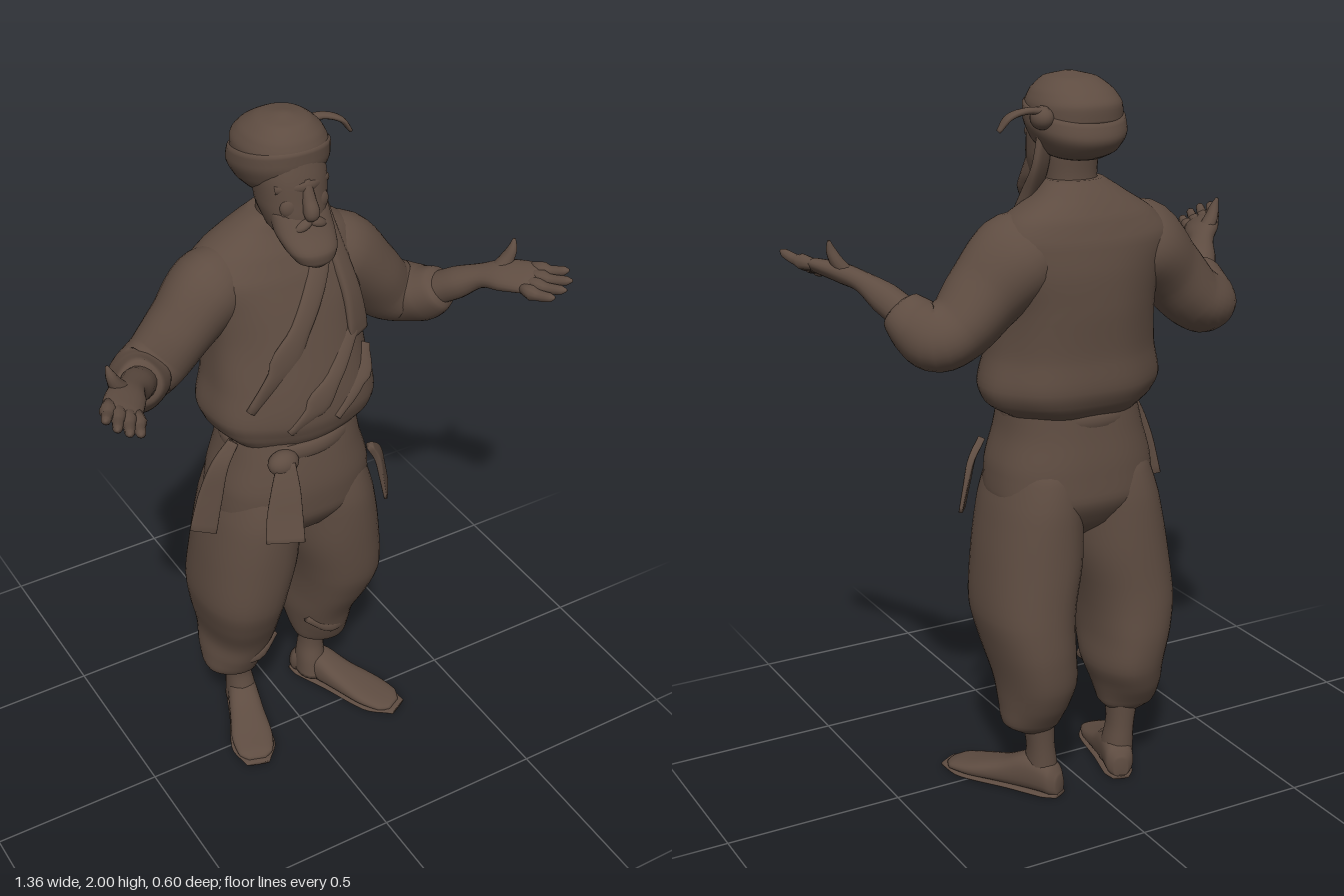
import * as THREE from 'three';

const V = (x, y, z) => new THREE.Vector3(x, y, z);
const brown = new THREE.MeshStandardMaterial({ color: 0x5e4c41 });
brown.name = 'dark brown';
const UP = V(0, 1, 0);

// Smooth closed sweep. Rows are [x, y, z, a, b]; a is the half size along ref, b the other half size.
function sweep(rows, { ref = V(1, 0, 0), dir = null, n = 2.2, seg = 32, sub = 5, fold = null } = {}) {
  const path = new THREE.CatmullRomCurve3(rows.map(r => V(r[0], r[1], r[2])));
  const size = new THREE.CatmullRomCurve3(rows.map(r => V(r[3], r[4], 0)));
  const steps = (rows.length - 1) * sub, pos = [], idx = [];
  const pw = v => Math.sign(v) * Math.abs(v) ** (2 / n);
  for (let i = 0; i <= steps; i++) {
    const t = i / steps, c = path.getPoint(t), s = size.getPoint(t);
    const T = dir ? dir.clone().normalize() : path.getTangent(t);
    const A = ref.clone().addScaledVector(T, -ref.dot(T)).normalize();
    const B = T.clone().cross(A);
    for (let j = 0; j < seg; j++) {
      const th = j / seg * Math.PI * 2, k = fold ? 1 + fold(th, t) : 1;
      const p = c.clone().addScaledVector(A, pw(Math.cos(th)) * Math.max(s.x, 0.002) * k)
        .addScaledVector(B, pw(Math.sin(th)) * Math.max(s.y, 0.002) * k);
      pos.push(p.x, p.y, p.z);
    }
  }
  for (let i = 0; i < steps; i++) for (let j = 0; j < seg; j++) {
    const a = i * seg + j, b = i * seg + (j + 1) % seg;
    idx.push(a, b, b + seg, a, b + seg, a + seg);
  }
  const c0 = pos.length / 3, last = steps * seg;
  for (const r of [rows[0], rows[rows.length - 1]]) pos.push(r[0], r[1], r[2]);
  for (let j = 0; j < seg; j++) {
    const k = (j + 1) % seg;
    idx.push(c0, k, j, c0 + 1, last + j, last + k);
  }
  const g = new THREE.BufferGeometry();
  g.setAttribute('position', new THREE.Float32BufferAttribute(pos, 3));
  g.setIndex(idx);
  g.computeVertexNormals();
  return g;
}

// Level rings [y, x, z, rx, rz], listed from bottom to top
const stack = (rows, o = {}) => sweep(rows.map(([y, x, z, a, b]) => [x, y, z, a, b]), { dir: UP, ...o });

const TORSO = [
  [1.1, 0, -0.08, 0.185, 0.15], [1.14, 0.012, -0.09, 0.235, 0.18], [1.19, 0.012, -0.095, 0.252, 0.195],
  [1.28, 0.01, -0.1, 0.232, 0.187], [1.4, 0.01, -0.12, 0.222, 0.175], [1.5, 0.01, -0.135, 0.24, 0.16],
  [1.58, 0, -0.145, 0.255, 0.14], [1.64, 0.01, -0.15, 0.21, 0.115], [1.69, 0.01, -0.15, 0.13, 0.085],
  [1.73, 0.02, -0.14, 0.08, 0.065]];

// Depth of the shirt front at a given place
function frontZ(x, y) {
  let i = 0;
  while (i < TORSO.length - 2 && TORSO[i + 1][0] < y) i++;
  const [p, q] = [TORSO[i], TORSO[i + 1]], t = (y - p[0]) / (q[0] - p[0]);
  const [, cx, cz, rx, rz] = p.map((v, k) => v + (q[k] - v) * t);
  return cz + rz * Math.max(0, 1 - Math.abs((x - cx) / rx) ** 2.2) ** (1 / 2.2);
}

export function createModel() {
  const model = new THREE.Group();
  model.name = 'robedMan';
  const add = (name, geo) => {
    const m = new THREE.Mesh(geo, brown);
    m.name = name;
    model.add(m);
    return m;
  };
  const ball = (name, x, y, z, rx, ry, rz) => {
    const m = add(name, new THREE.SphereGeometry(1, 20, 14));
    m.position.set(x, y, z);
    m.scale.set(rx, ry, rz);
    return m;
  };

  // Shirt with soft folds, and its crossed front
  add('shirt', stack(TORSO, { seg: 56, fold: (a, t) => 0.016 * Math.sin(7 * a + 5 * t) * (1 - t) }));
  const strip = (name, pts, w, d) => add(name, sweep(
    pts.map(([x, y], i) => [x, y, frontZ(x, y), w * (i === pts.length - 1 ? 0.5 : 1), d]), { seg: 16 }));
  strip('lapel', [[0.1, 1.66], [0.05, 1.56], [-0.02, 1.45], [-0.1, 1.34], [-0.17, 1.24]], 0.03, 0.01);
  strip('shirtFold', [[0.14, 1.4], [0.06, 1.3], [-0.02, 1.22], [-0.08, 1.17]], 0.024, 0.009);
  strip('shirtFold', [[0.19, 1.33], [0.14, 1.25], [0.06, 1.18]], 0.022, 0.008);

  // Trousers: hips, then a baggy leg on each side
  add('trouserSeat', stack([
    [0.74, 0, -0.085, 0.05, 0.06], [0.8, 0, -0.083, 0.17, 0.14], [0.88, 0, -0.08, 0.235, 0.184],
    [0.96, 0, -0.075, 0.228, 0.184], [1.05, 0, -0.075, 0.202, 0.172], [1.14, 0.005, -0.08, 0.185, 0.155]],
  { seg: 48, n: 2.4 }));
  for (const s of [1, -1]) {
    const side = s > 0 ? 'left' : 'right';
    const bulge = s > 0 ? 0 : 0.012;
    add(side + 'TrouserLeg', stack([
      [0.195, s * 0.145, -0.14, 0.045, 0.05], [0.22, s * (0.147 + bulge), -0.135, 0.082, 0.08],
      [0.28, s * (0.142 + bulge), -0.14, 0.094, 0.112], [0.35, s * 0.14, -0.142, 0.105, 0.138],
      [0.45, s * 0.152, -0.122, 0.116, 0.168], [0.55, s * 0.157, -0.1, 0.129, 0.184],
      [0.7, s * 0.135, -0.087, 0.138, 0.187], [0.85, s * 0.12, -0.08, 0.125, 0.184],
      [0.95, s * 0.105, -0.078, 0.107, 0.165], [1.04, s * 0.085, -0.075, 0.07, 0.1]],
    { seg: 40, fold: (a, t) => 0.035 * Math.sin(4 * a + 9 * t) * (1 - t) ** 2 }));
    add(side + 'CuffFold', sweep([
      [s * 0.06, 0.34, -0.06, 0.015, 0.02], [s * 0.13, 0.3, -0.035, 0.025, 0.02],
      [s * 0.2, 0.29, -0.08, 0.02, 0.02], [s * 0.218, 0.31, -0.15, 0.012, 0.015]], { ref: UP, seg: 14 }));

    // Ankle and foot, toes turned out
    add(side + 'Ankle', stack([
      [0.03, s * 0.125, -0.145, 0.045, 0.055], [0.09, s * 0.125, -0.15, 0.042, 0.05],
      [0.15, s * 0.13, -0.155, 0.038, 0.044], [0.26, s * 0.14, -0.15, 0.05, 0.055]], { seg: 20 }));
    const heel = V(s * 0.1, 0, -0.215), toe = s > 0 ? V(0.275, 0, 0.11) : V(-0.205, 0, 0.1);
    const run = toe.clone().sub(heel), across = UP.clone().cross(run).normalize();
    add(side + 'Foot', sweep([
      [0, 0.02, 0.03], [0.06, 0.04, 0.045], [0.25, 0.045, 0.055], [0.5, 0.053, 0.036],
      [0.75, 0.062, 0.022], [0.93, 0.052, 0.014], [1, 0.025, 0.009]].map(([t, w, h]) =>
      [heel.x + run.x * t, h + 0.003, heel.z + run.z * t, w, h]), { ref: across, dir: run, seg: 24, n: 2.5 }));
    add(side + 'Sole', sweep([[0, 0.025], [0.1, 0.042], [0.4, 0.05], [0.8, 0.067], [1.04, 0.035]].map(([t, w]) =>
      [heel.x + run.x * t, 0.006, heel.z + run.z * t, w, 0.006]), { ref: across, dir: run, seg: 20, n: 3 }));

    // Sleeve, bare forearm and open palm
    const ref = V(-0.55 * s, -0.57, 0.62);
    add(side + 'Sleeve', sweep([
      [s * 0.08, 1.59, -0.15, 0.06, 0.07], [s * 0.19, 1.535, -0.145, 0.108, 0.122],
      [s * 0.275, 1.455, -0.135, 0.094, 0.106], [s * 0.35, 1.375, -0.137, 0.087, 0.09],
      [s * 0.405, 1.348, -0.125, 0.083, 0.087], [s * 0.435, 1.365, -0.072, 0.076, 0.08],
      [s * 0.458, 1.4, -0.022, 0.06, 0.06], [s * 0.464, 1.41, -0.01, 0.035, 0.035]],
    { ref, seg: 32, fold: (a, t) => 0.035 * Math.sin(3 * a + 16 * t) * t }));
    const w = V(s * 0.78, 0.4, -0.5).normalize();
    add(side + 'ForearmAndPalm', sweep([
      [s * 0.44, 1.38, -0.05, 0.045, 0.045], [s * 0.485, 1.43, 0.02, 0.045, 0.042],
      [s * 0.525, 1.468, 0.075, 0.036, 0.028], [s * 0.56, 1.485, 0.125, 0.05, 0.027],
      [s * 0.597, 1.495, 0.18, 0.052, 0.02], [s * 0.61, 1.498, 0.205, 0.045, 0.014]], { ref: w, seg: 20 }));
    for (let f = 0; f < 4; f++) {
      const k = (f - 1.5) * 0.024, len = [0.1, 0.122, 0.126, 0.105][f];
      const p = V(s * 0.597, 1.495, 0.18).addScaledVector(w, k);
      const d = V(s * (0.4 + k * 2), 0.1 + 0.04 * f, 0.9 - k).normalize();
      add(side + 'Finger', sweep([[0, 0.015], [0.5, 0.015], [0.9, 0.012], [1.03, 0.004]].map(([t, r]) =>
        [p.x + d.x * len * t, p.y + d.y * len * t - 0.008 * Math.sin(t * 3), p.z + d.z * len * t, r, r]),
      { ref: w, seg: 10, sub: 3 }));
    }
    add(side + 'Thumb', sweep([
      [s * 0.55, 1.48, 0.1, 0.026, 0.022], [s * 0.58, 1.52, 0.108, 0.021, 0.018],
      [s * 0.593, 1.55, 0.112, 0.014, 0.013], [s * 0.6, 1.577, 0.108, 0.004, 0.004]],
    { ref: V(0, 0, 1), seg: 12, sub: 3 }));
  }

  // Neck, head, nose and beard
  add('neck', stack([[1.6, 0.015, -0.14, 0.09, 0.08], [1.72, 0.02, -0.12, 0.07, 0.07], [1.8, 0.02, -0.115, 0.075, 0.08]]));
  add('head', stack([
    [1.685, 0.02, -0.045, 0.045, 0.05], [1.72, 0.02, -0.06, 0.072, 0.08], [1.78, 0.02, -0.08, 0.09, 0.098],
    [1.85, 0.02, -0.09, 0.094, 0.098], [1.92, 0.02, -0.1, 0.08, 0.09]]));
  add('nose', sweep([
    [0.02, 1.86, -0.005, 0.012, 0.012], [0.02, 1.81, 0.013, 0.018, 0.018], [0.02, 1.78, 0.026, 0.021, 0.021],
    [0.02, 1.762, 0.018, 0.014, 0.014]], { seg: 16 }));
  add('beard', stack([
    [1.64, 0.025, 0.045, 0.02, 0.018], [1.655, 0.025, 0.035, 0.052, 0.04], [1.685, 0.022, 0.02, 0.07, 0.056],
    [1.725, 0.02, -0.015, 0.08, 0.058], [1.775, 0.02, -0.045, 0.08, 0.055]]));
  for (const s of [1, -1]) {
    ball('cheek', 0.02 + s * 0.038, 1.79, -0.012, 0.032, 0.032, 0.02);
    ball('moustache', 0.02 + s * 0.02, 1.745, 0.015, 0.03, 0.015, 0.02).rotation.z = -s * 0.4;
  }
  add('brow', sweep([[-0.055, 1.838, -0.03, 0.012, 0.01], [0.02, 1.845, 0.002, 0.015, 0.012],
    [0.095, 1.838, -0.03, 0.012, 0.01]], { ref: UP, seg: 12 }));

  // Head wrap: wound band, crown, knot and tails
  add('headWrapBand', sweep([
    [0.02, 1.8, -0.135, 0.085, 0.085], [0.02, 1.825, -0.14, 0.108, 0.122], [0.02, 1.87, -0.145, 0.127, 0.143],
    [0.02, 1.905, -0.14, 0.126, 0.138], [0.02, 1.93, -0.135, 0.09, 0.1]], { dir: V(0, 1, -0.2), seg: 40 }));
  add('headWrapCrown', stack([
    [1.88, 0.02, -0.14, 0.12, 0.13], [1.92, 0.02, -0.138, 0.119, 0.132], [1.955, 0.02, -0.13, 0.102, 0.112],
    [1.985, 0.02, -0.12, 0.066, 0.072], [1.998, 0.02, -0.115, 0.012, 0.012]], { seg: 40 }));
  ball('wrapKnot', 0.14, 1.895, -0.19, 0.03, 0.03, 0.035);
  add('wrapTail', sweep([
    [0.13, 1.91, -0.2, 0.016, 0.012], [0.18, 1.915, -0.19, 0.014, 0.009], [0.225, 1.9, -0.175, 0.018, 0.008],
    [0.25, 1.865, -0.165, 0.01, 0.005]], { ref: V(0, 0, 1), seg: 12 }));
  add('hangingScarf', sweep([
    [0.112, 1.86, -0.155, 0.025, 0.012], [0.12, 1.77, -0.145, 0.03, 0.013], [0.125, 1.69, -0.1, 0.028, 0.02],
    [0.135, 1.6, -0.042, 0.03, 0.018], [0.155, 1.5, 0.002, 0.034, 0.013], [0.165, 1.42, 0.018, 0.04, 0.011],
    [0.168, 1.375, 0.024, 0.042, 0.008]], { ref: V(1, 0, -0.5), n: 3, seg: 20 }));

  // Sash with a knot and loose ends
  const sash = add('sash', new THREE.TorusGeometry(1, 0.09, 12, 48));
  sash.rotation.set(Math.PI / 2, 0.04, 0);
  sash.position.set(0, 1.095, -0.075);
  sash.scale.set(0.18, 0.157, 0.3);
  ball('sashKnot', -0.1, 1.08, 0.085, 0.045, 0.036, 0.034);
  const tail = (name, rows, ref) => add(name, sweep(rows, { ref, n: 5, seg: 24 }));
  tail('frontSashEnd', [[-0.1, 1.09, 0.1, 0.025, 0.012], [-0.115, 1.02, 0.125, 0.04, 0.01],
    [-0.13, 0.94, 0.145, 0.05, 0.008], [-0.14, 0.875, 0.165, 0.054, 0.006]], V(1, 0, 0.45));
  tail('rightSashEnd', [[-0.19, 1.11, -0.03, 0.015, 0.012], [-0.235, 1.05, -0.025, 0.024, 0.01],
    [-0.265, 0.95, -0.03, 0.034, 0.008], [-0.288, 0.835, -0.035, 0.038, 0.006]], V(1, 0, 0.5));
  tail('leftSashEnd', [[0.2, 1.0, 0.045, 0.01, 0.01], [0.235, 0.95, 0.035, 0.03, 0.01],
    [0.255, 0.88, 0.03, 0.04, 0.008], [0.27, 0.81, 0.03, 0.045, 0.006]], V(0.55, 0, -0.8));
  return model;
}
